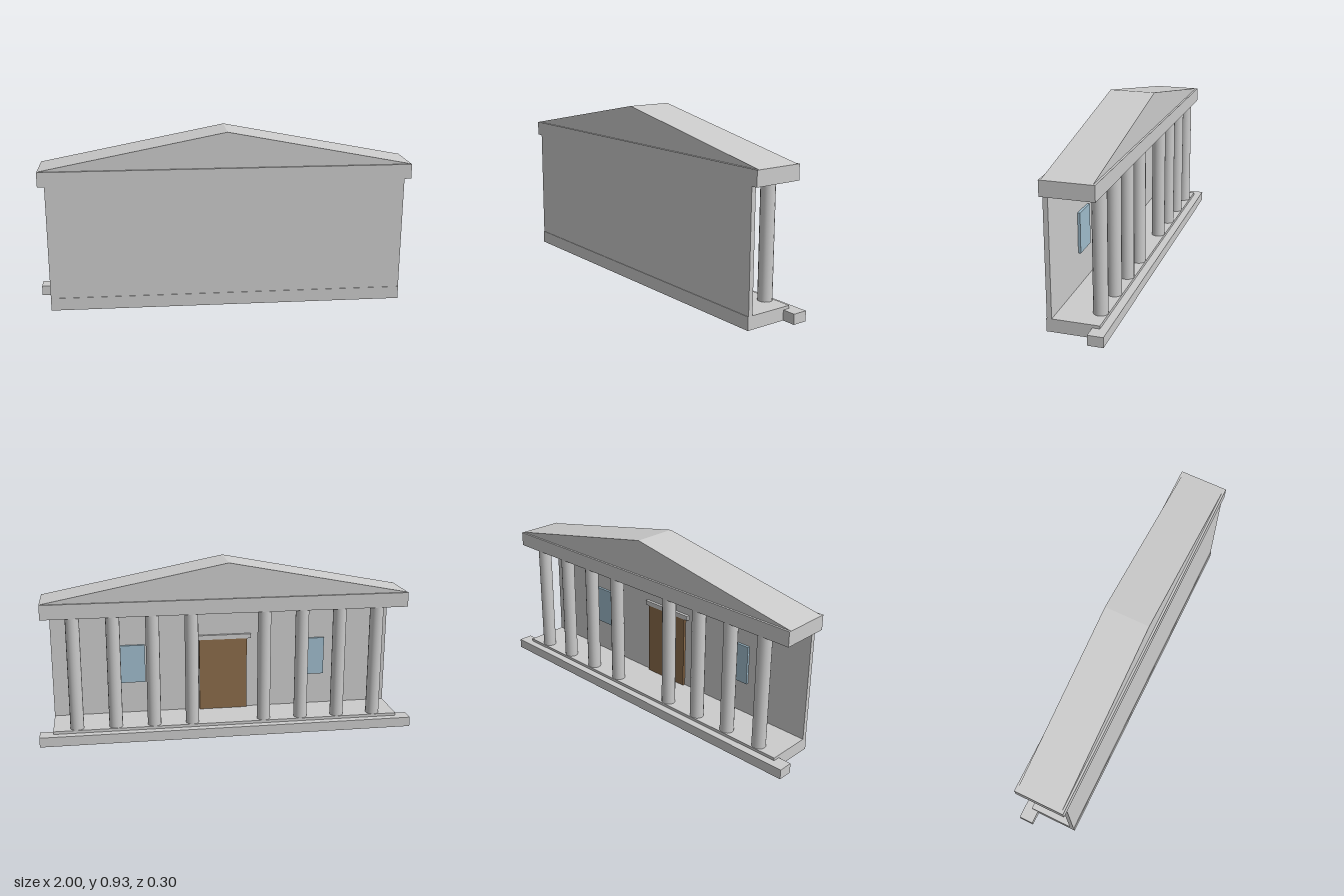
import * as THREE from 'three';

export function createModel() {
  const model = new THREE.Group();
  const material = (color) => new THREE.MeshStandardMaterial({ color });
  const stone = material(0xcccccc);
  const wood = material(0x8b6b4a);
  const glass = material(0x9fbccc);

  function add(name, geometry, mat = stone) {
    const mesh = new THREE.Mesh(geometry, mat);
    mesh.name = name;
    model.add(mesh);
    return mesh;
  }

  // Box given by its extents along each axis
  function block(name, [x0, x1], [y0, y1], [z0, z1], mat) {
    const mesh = add(name, new THREE.BoxGeometry(x1 - x0, y1 - y0, z1 - z0), mat);
    mesh.position.set((x0 + x1) / 2, (y0 + y1) / 2, (z0 + z1) / 2);
    return mesh;
  }

  // Platform, entrance step and plain wall
  block('platform', [-0.93, 0.93], [0, 0.067], [-0.11, 0.15]);
  block('step', [-1, 1], [0, 0.052], [-0.15, -0.073]);
  block('wall', [-0.93, 0.93], [0.067, 0.67], [0.123, 0.147]);

  // Beam over the columns
  block('entablature', [-0.965, 0.965], [0.67, 0.747], [-0.11, 0.15]);

  // Triangular gable, extruded through the depth
  const gable = new THREE.Shape();
  gable.moveTo(-0.965, 0.747);
  gable.lineTo(0.965, 0.747);
  gable.lineTo(0, 0.933);
  gable.closePath();
  const pediment = add('pediment', new THREE.ExtrudeGeometry(gable, { depth: 0.238, bevelEnabled: false }));
  pediment.position.z = -0.099;

  // Portico columns, four on each side of the doorway
  const columnGeometry = new THREE.CylinderGeometry(0.036, 0.036, 0.603, 16);
  for (const side of [-1, 1]) {
    for (let i = 0; i < 4; i++) {
      const column = add('column', columnGeometry);
      column.position.set(side * (0.194 + i * 0.204), 0.3685, -0.0725);
    }
    // Window beside the door
    const x = side * 0.5;
    block('window', [x - 0.07, x + 0.07], [0.243, 0.453], [0.11, 0.124], glass);
  }

  // Door and its lintel
  block('door', [-0.132, 0.132], [0.067, 0.468], [0.109, 0.124], wood);
  block('lintel', [-0.155, 0.155], [0.468, 0.493], [0.107, 0.124]);

  return model;
}
